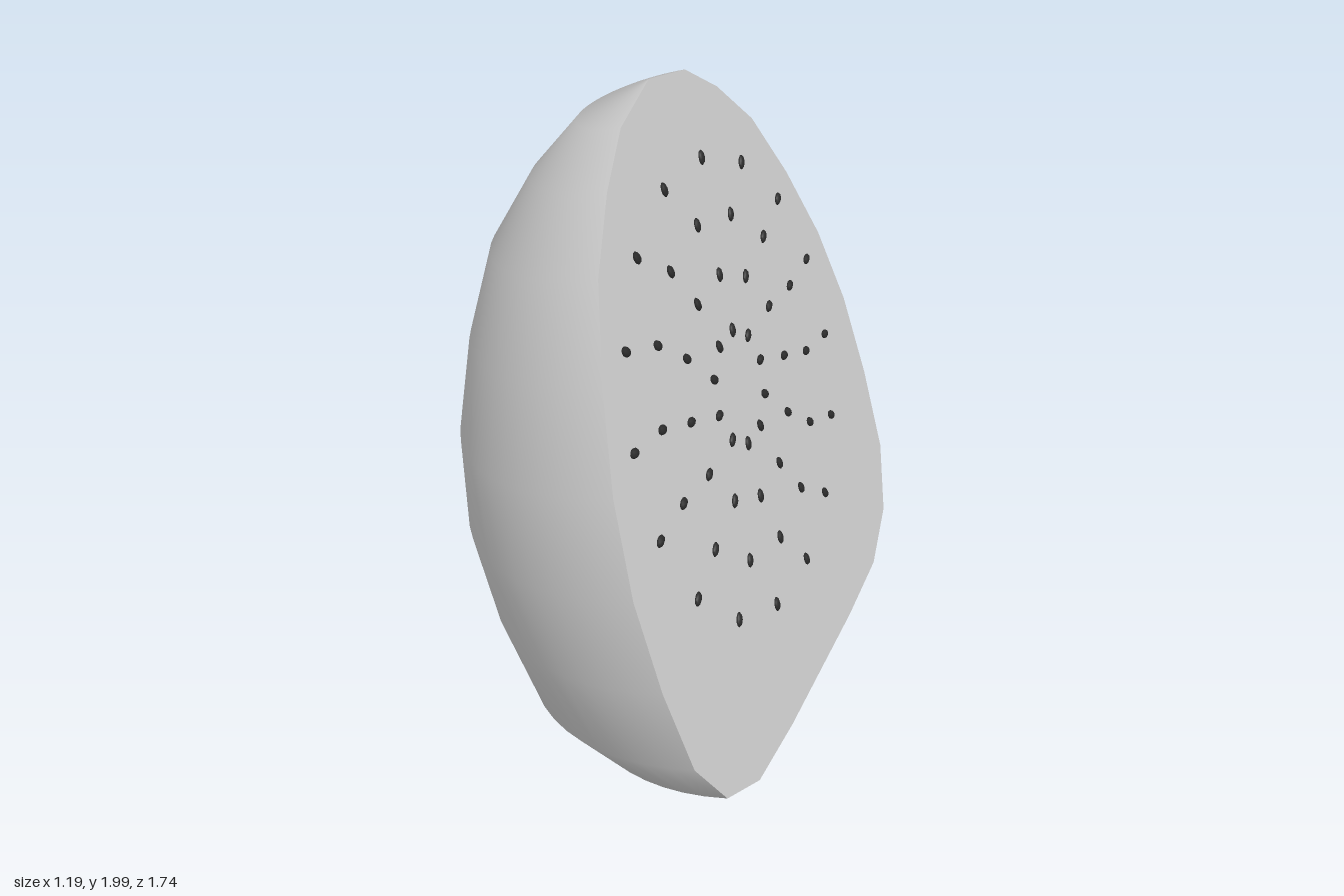
import * as THREE from 'three';

export function createModel() {
  const group = new THREE.Group();
  group.name = 'halvedFruit';
  const flesh = new THREE.MeshStandardMaterial({ color: 0xcccccc });
  flesh.name = 'pale grey';
  const dark = new THREE.MeshStandardMaterial({ color: 0x2a2a2a });
  dark.name = 'dark seed';

  // Half profile [radius, height along the fruit's axis], base to tip
  const profile = [
    [0, 0], [0.28, 0], [0.554, 0.016], [0.742, 0.11], [0.849, 0.298], [0.874, 0.571],
    [0.864, 0.853], [0.8, 1.12], [0.686, 1.377], [0.549, 1.607], [0.381, 1.77],
    [0.218, 1.88], [0, 1.932],
  ].map(([r, h]) => new THREE.Vector2(r, h));

  // Rind: half a turn behind the cut
  const rind = new THREE.Mesh(new THREE.LatheGeometry(profile, 32, Math.PI / 2, Math.PI), flesh);
  rind.name = 'rind';
  group.add(rind);

  // Flat cut face: profile plus its mirror
  const mirrored = profile.slice(1, -1).reverse().map((p) => new THREE.Vector2(-p.x, p.y));
  const outline = new THREE.Shape([...profile, ...mirrored]);
  const face = new THREE.Mesh(new THREE.ShapeGeometry(outline), flesh);
  face.name = 'cutFace';
  group.add(face);

  // Seeds: four rings, each pointing outward from the core
  const seeds = new THREE.Group();
  seeds.name = 'seeds';
  seeds.position.set(0, 0.997, 0);
  const seedGeometry = new THREE.SphereGeometry(1, 8, 6);
  seedGeometry.scale(0.022, 0.014, 0.009);
  for (let ring = 0; ring < 4; ring++) {
    const count = 10 + ring * 2;
    const radius = 0.166 * (ring + 1);
    for (let i = 0; i < count; i++) {
      const angle = (i / count) * Math.PI * 2 + ring * 0.31;
      const seed = new THREE.Mesh(seedGeometry, dark);
      seed.name = 'seed';
      seed.position.set(Math.cos(angle) * radius, Math.sin(angle) * radius, 0.002);
      seed.rotation.z = angle;
      seeds.add(seed);
    }
  }
  group.add(seeds);

  // Lean the fruit: cut face looks right and slightly up and forward
  const axis = new THREE.Vector3(-0.293, 0.955, -0.049).normalize();
  const across = new THREE.Vector3().crossVectors(axis, new THREE.Vector3(0.94, 0.296, 0.166)).normalize();
  const normal = new THREE.Vector3().crossVectors(across, axis);
  group.quaternion.setFromRotationMatrix(new THREE.Matrix4().makeBasis(across, axis, normal));
  group.position.set(0.496, 0.155, 0.045);

  const model = new THREE.Group();
  model.name = 'model';
  model.add(group);
  return model;
}
